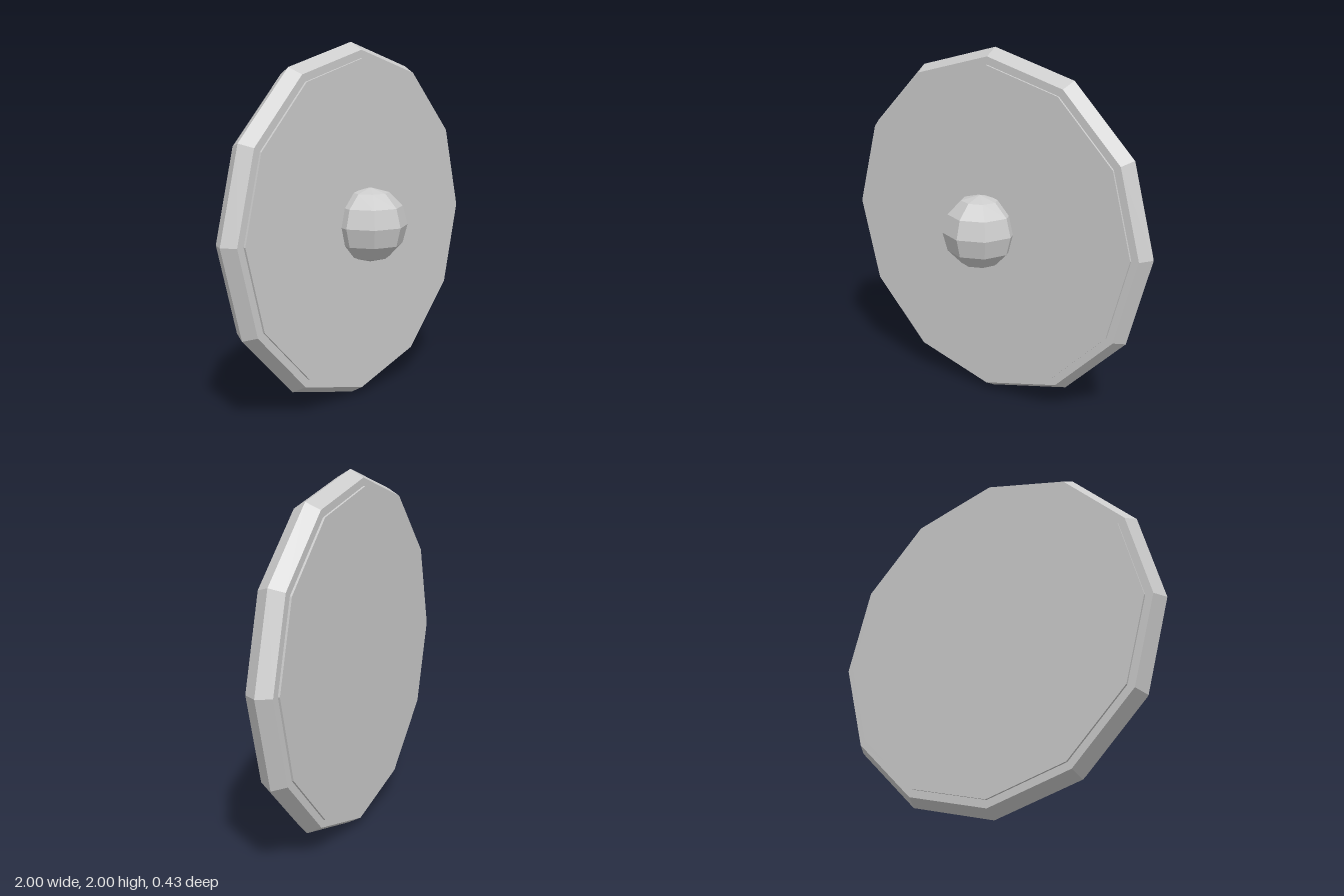
import * as THREE from 'three';

export function createModel() {
  const shield = new THREE.Group();
  shield.name = 'shield';
  const material = new THREE.MeshStandardMaterial({ color: 0xcccccc, flatShading: true });

  const sides = 12;
  const rimRadius = 0.913;
  const rimTube = 0.087;
  const plateZ = -0.13;

  const add = (name, geometry, z) => {
    const mesh = new THREE.Mesh(geometry, material);
    mesh.name = name;
    mesh.position.set(0, 1, z);
    shield.add(mesh);
  };

  // Twelve-sided plate, turned to face forward
  add('plate', new THREE.CylinderGeometry(rimRadius, rimRadius, rimTube * 2, sides).rotateX(Math.PI / 2), plateZ);

  // Rim with a hexagonal section around the plate
  add('rim', new THREE.TorusGeometry(rimRadius, rimTube, 6, sides), plateZ);

  // Faceted boss, sunk partly into the plate
  add('boss', new THREE.SphereGeometry(0.209, 8, 6), 0.008);

  return shield;
}
